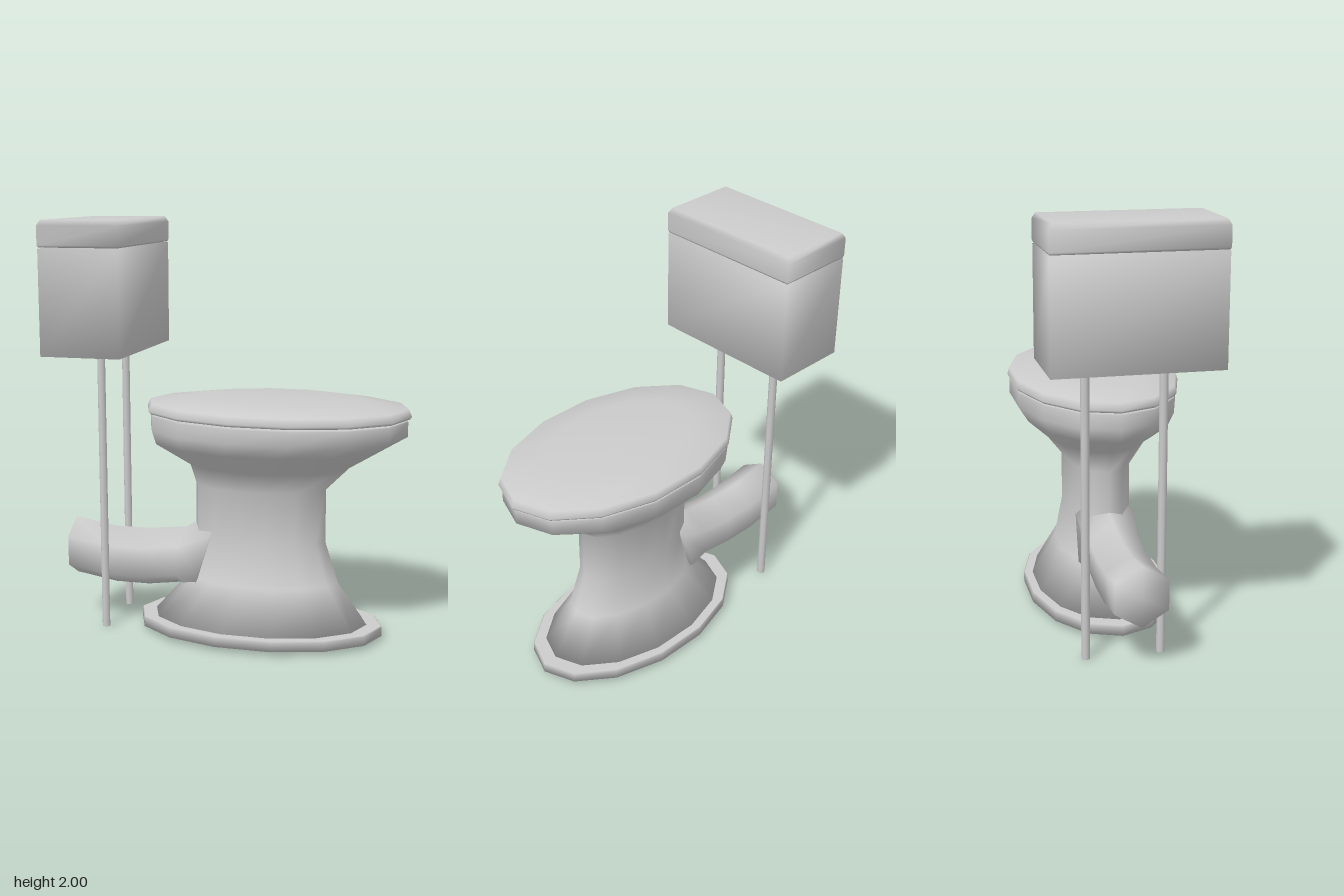
import * as THREE from 'three';

const material = new THREE.MeshStandardMaterial({ color: 0xcccccc });

// Smooth closed skin through rings of equal point count, capped at both ends
function loft(name, rings) {
  const n = rings[0].length, pos = [], index = [];
  const centre = ring => ring.reduce((s, p) => s.add(p), new THREE.Vector3()).divideScalar(n);
  rings.flat().forEach(p => pos.push(p.x, p.y, p.z));
  const last = (rings.length - 1) * n, c0 = rings.length * n, c1 = c0 + 1;
  [centre(rings[0]), centre(rings[rings.length - 1])].forEach(p => pos.push(p.x, p.y, p.z));
  for (let i = 0; i < n; i++) {
    const j = (i + 1) % n;
    for (let r = 0; r < last; r += n) {
      index.push(r + i, r + j, r + n + j, r + i, r + n + j, r + n + i);
    }
    index.push(c0, j, i, c1, last + i, last + j);
  }
  const geo = new THREE.BufferGeometry();
  geo.setAttribute('position', new THREE.Float32BufferAttribute(pos, 3));
  geo.setIndex(index);
  geo.computeVertexNormals();
  const mesh = new THREE.Mesh(geo, material);
  mesh.name = name;
  return mesh;
}

// Horizontal 14-sided oval from its x extents and z radius
function oval([y, x0, x1, rz]) {
  return Array.from({ length: 14 }, (_, i) => {
    const a = i / 14 * Math.PI * 2;
    return new THREE.Vector3((x0 + x1) / 2 + (x1 - x0) / 2 * Math.cos(a), y, -rz * Math.sin(a));
  });
}

// Horizontal rectangle of the cistern, shrunk by an inset
function rect([y, inset]) {
  const hx = 0.195 - inset, hz = 0.377 - inset;
  return [[1, 1], [1, -1], [-1, -1], [-1, 1]].map(
    ([sx, sz]) => new THREE.Vector3(-0.655 + sx * hx, y, -0.022 + sz * hz));
}

// Upright hexagon across the drain pipe, leaning by a tilt angle
function hexagon([x, y, r, halfWidth, tilt]) {
  return Array.from({ length: 6 }, (_, i) => {
    const a = i / 6 * Math.PI * 2 + Math.PI / 6;
    const up = r * Math.sin(a);
    return new THREE.Vector3(x + up * Math.sin(tilt), y + up * Math.cos(tilt),
      -halfWidth * Math.cos(a) / Math.cos(Math.PI / 6));
  });
}

export function createModel() {
  const model = new THREE.Group();
  model.name = 'toilet';

  // Foot, pedestal with bowl, and closed lid: y, left x, right x, z radius
  model.add(loft('footPlate', [
    [0.02, -0.485, 0.725, 0.355], [0.065, -0.485, 0.725, 0.355], [0.07, -0.48, 0.72, 0.35],
  ].map(oval)));
  model.add(loft('pedestalBowl', [
    [0.065, -0.415, 0.655, 0.315],
    [0.27, -0.235, 0.51, 0.195],
    [0.47, -0.2, 0.445, 0.16],
    [0.73, -0.2, 0.445, 0.16],
    [0.84, -0.235, 0.555, 0.25],
    [0.94, -0.41, 0.72, 0.358],
    [1.005, -0.43, 0.828, 0.4],
    [1.075, -0.43, 0.828, 0.4],
    [1.08, -0.42, 0.82, 0.395],
  ].map(oval)));
  model.add(loft('seatLid', [
    [1.087, -0.435, 0.835, 0.4],
    [1.1, -0.445, 0.845, 0.41],
    [1.135, -0.43, 0.83, 0.4],
    [1.165, -0.2, 0.61, 0.265],
  ].map(oval)));

  // Drain pipe: x, y, radius, half width, tilt
  model.add(loft('drainPipe', [
    [-0.83, 0.367, 0.145, 0.122, 0],
    [-0.62, 0.333, 0.145, 0.122, 0],
    [-0.45, 0.333, 0.145, 0.122, 0],
    [-0.27, 0.355, 0.145, 0.122, 0.12],
    [-0.13, 0.385, 0.23, 0.145, 0.3],
  ].map(hexagon)));

  // Raised cistern and its bevelled cover
  model.add(loft('cistern', [[1.37, 0], [1.87, 0]].map(rect)));
  model.add(loft('cisternCover', [[1.875, 0.003], [1.885, -0.002], [1.975, -0.002], [2, 0.012]].map(rect)));

  // Two water pipes carrying the cistern
  for (const z of [0.14, -0.21]) {
    const pipe = new THREE.Mesh(new THREE.CylinderGeometry(0.02, 0.02, 1.4, 8), material);
    pipe.name = 'waterPipe';
    pipe.position.set(-0.63, 0.7, z);
    model.add(pipe);
  }
  return model;
}
